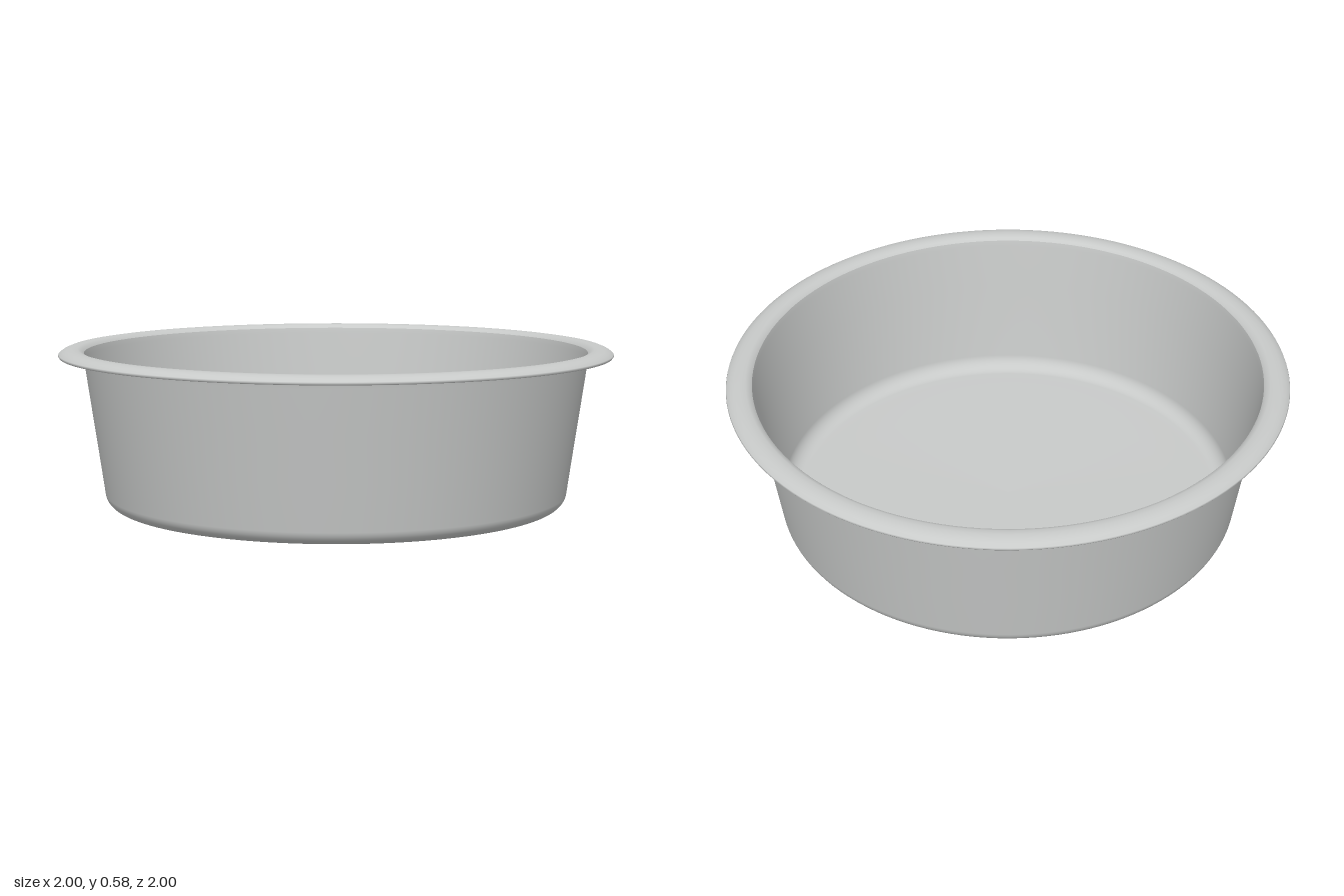
import * as THREE from 'three';

const SEGMENTS = 128;

// Circular fillet points around a centre, angles in degrees
function arc(cx, cy, rx, ry, from, to, steps = 8) {
  return Array.from({ length: steps + 1 }, (_, i) => {
    const a = THREE.MathUtils.degToRad(from + (to - from) * i / steps);
    return [cx + rx * Math.cos(a), cy + ry * Math.sin(a)];
  });
}

export function createModel() {
  const group = new THREE.Group();
  group.name = 'roundPan';
  const metal = new THREE.MeshStandardMaterial({ color: 0xc8cac9 });
  metal.name = 'brushed metal';

  // Each part is a revolved [radius, height] profile; part ends stay crisp
  function revolve(name, profile) {
    const points = profile.map(([r, y]) => new THREE.Vector2(r, y));
    const mesh = new THREE.Mesh(new THREE.LatheGeometry(points, SEGMENTS), metal);
    mesh.name = name;
    group.add(mesh);
  }

  // Underside, bulging very slightly towards the middle
  revolve('underside', [[0, 0], [0.2, 0.003], [0.4, 0.008], [0.6, 0.011], [0.795, 0.012]]);

  // Outer wall: rounded foot, flared side, small fillet under the rim
  revolve('outerWall', [
    ...arc(0.786, 0.067, 0.054, 0.054, -80, -8),
    [0.862, 0.22], [0.885, 0.38], [0.907, 0.535],
    ...arc(0.923, 0.543, 0.015, 0.015, 172, 90, 5),
  ]);

  // Rim: flat underside, rolled lip and gently domed top
  revolve('rimUnderside', [[0.923, 0.558], [0.955, 0.558], [0.985, 0.556]]);
  revolve('rimTop', [
    [0.985, 0.556], [0.996, 0.557], [1, 0.562], [0.998, 0.567], [0.985, 0.576],
    [0.97, 0.582], [0.95, 0.585], [0.93, 0.584], [0.917, 0.579], [0.908, 0.57],
  ]);

  // Inner wall running through a soft corner into the floor
  revolve('innerWall', [
    [0.908, 0.57], [0.904, 0.55], [0.88, 0.38], [0.857, 0.22],
    ...arc(0.775, 0.083, 0.06, 0.06, -8, -90, 10),
    [0.74, 0.023], [0.6, 0.022], [0.3, 0.018], [0, 0.014],
  ]);

  return group;
}
